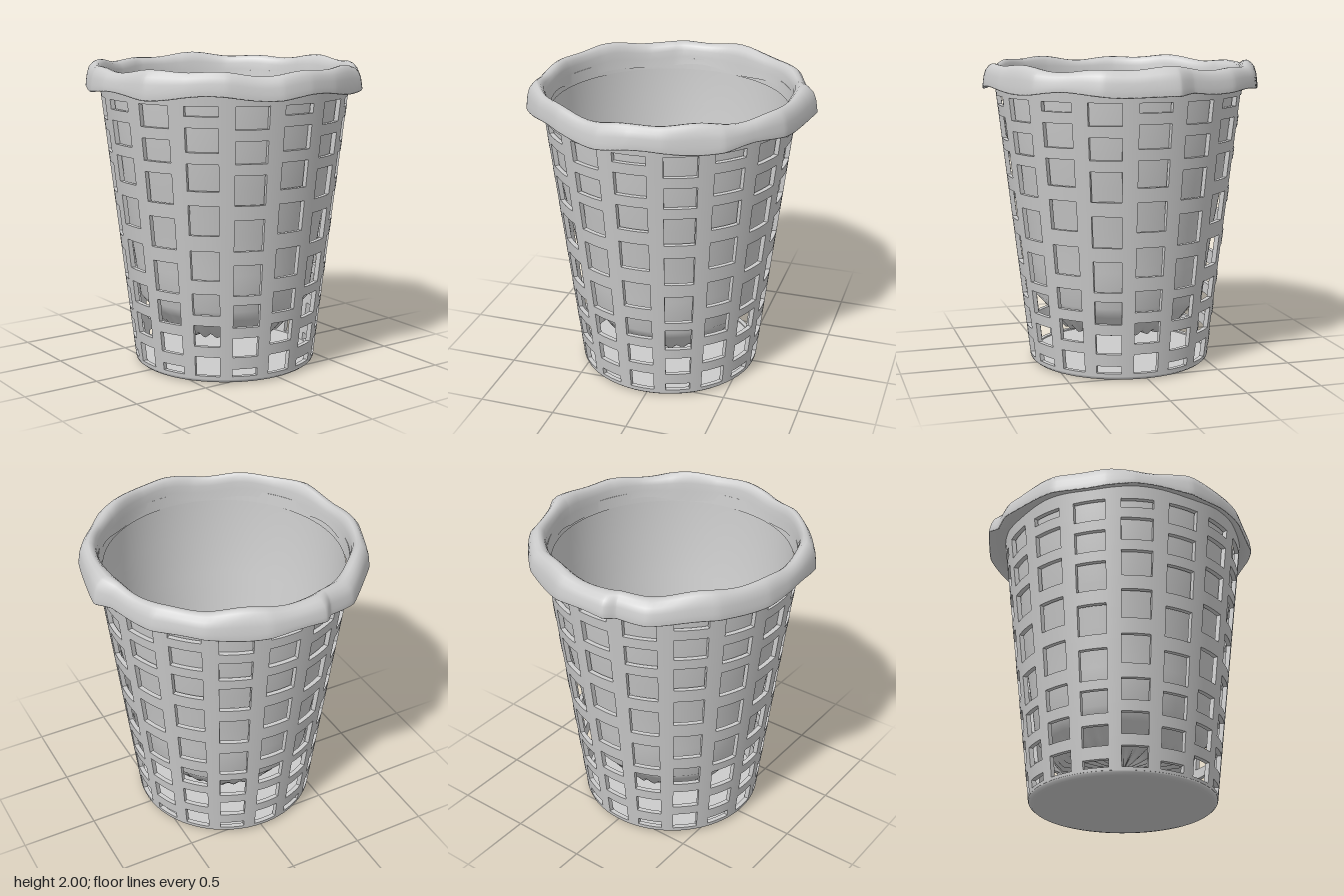
import * as THREE from 'three';
import { mergeGeometries } from 'three/addons/utils/BufferGeometryUtils.js';

const TAU = Math.PI * 2;
const COLUMNS = 16, PITCH = TAU / COLUMNS, HOLE = PITCH * 0.67;
const WALL = 0.03, BOTTOM = 0.03, TOP = 1.87;
const SLOPE = 0.1155;
const wallRadius = y => 0.597 + SLOPE * y;

// A box bent onto the conical basket wall
function wallPiece(a, width, y0, y1) {
  const g = new THREE.BoxGeometry(width, y1 - y0, WALL, 4, Math.max(1, Math.round((y1 - y0) / 0.2)), 1);
  const p = g.attributes.position, n = g.attributes.normal;
  const v = new THREE.Vector3();
  for (let i = 0; i < p.count; i++) {
    const t = a + p.getX(i), y = p.getY(i) + (y0 + y1) / 2;
    const r = wallRadius(y) - WALL / 2 + p.getZ(i);
    p.setXYZ(i, r * Math.sin(t), y, r * Math.cos(t));
    v.set(n.getX(i), n.getY(i) - SLOPE * n.getZ(i), n.getZ(i)).normalize();
    v.applyAxisAngle(THREE.Object3D.DEFAULT_UP, t);
    n.setXYZ(i, v.x, v.y, v.z);
  }
  return g;
}

// A smooth skin over closed loops that all hold the same number of points
function loft(rings) {
  const n = rings[0].length, index = [];
  for (let i = 0; i < rings.length - 1; i++) {
    for (let j = 0; j < n; j++) {
      const k = (j + 1) % n;
      const a = i * n + j, b = i * n + k, c = a + n, d = b + n;
      index.push(a, b, c, b, d, c);
    }
  }
  const g = new THREE.BufferGeometry().setFromPoints(rings.flat());
  g.setIndex(index);
  g.computeVertexNormals();
  return g;
}

export function createModel() {
  const model = new THREE.Group();
  model.name = 'wasteBasket';
  const body = new THREE.Group();
  body.name = 'basketAndLiner';
  body.position.set(-0.02, 0, 0.02);
  model.add(body);

  const plastic = new THREE.MeshStandardMaterial({ color: 0xcccccc });
  const film = new THREE.MeshStandardMaterial({ color: 0xcccccc, side: THREE.DoubleSide });
  const add = (name, geometry, material) => {
    const mesh = new THREE.Mesh(geometry, material);
    mesh.name = name;
    body.add(mesh);
  };

  // Openings of the even and odd columns, as bottom and top heights
  const openings = [
    [[0.05, 0.18], [0.25, 0.39], [0.46, 0.6], [0.69, 0.88], [0.98, 1.17], [1.26, 1.43], [1.5, 1.65], [1.72, 1.78]],
    [[0.05, 0.1], [0.18, 0.31], [0.38, 0.53], [0.59, 0.79], [0.88, 1.08], [1.17, 1.36], [1.43, 1.57], [1.64, 1.78]],
  ];
  const struts = [], bars = [];
  for (let c = 0; c < COLUMNS; c++) {
    const a = c * PITCH;
    struts.push(wallPiece(a + PITCH / 2, PITCH - HOLE, BOTTOM, TOP));
    let y = BOTTOM;
    for (const [lo, hi] of [...openings[c % 2], [TOP, TOP]]) {
      bars.push(wallPiece(a, HOLE, y, lo));
      y = hi;
    }
  }
  add('basketStruts', mergeGeometries(struts), plastic);
  add('basketCrossBars', mergeGeometries(bars), plastic);

  // Solid floor with a rounded edge
  const floor = [[0, 0], [0.55, 0], [0.58, 0.006], [0.597, 0.02], [0.601, 0.04], [0.57, 0.042], [0, 0.042]];
  add('basketFloor', new THREE.LatheGeometry(floor.map(p => new THREE.Vector2(...p)), 64), plastic);

  // Liner bag, with pleats gathered at its bottom
  const bag = [[0.001, 0.245], [0.08, 0.245], [0.2, 0.245], [0.3, 0.245], [0.39, 0.25], [0.44, 0.305], [0.5, 0.385],
    [0.565, 0.46], [0.597, 0.7], [0.637, 0.95], [0.695, 1.25], [0.745, 1.55], [0.765, 1.8]];
  const SIDES = 180;
  add('linerBag', loft(bag.map(([r, y]) => Array.from({ length: SIDES }, (_, j) => {
    const t = j / SIDES * TAU;
    const depth = 0.016 * THREE.MathUtils.smoothstep(r, 0, 0.2) * (1 - THREE.MathUtils.smoothstep(r, 0.36, 0.52));
    const fold = depth * Math.cos(30 * t);
    return new THREE.Vector3((r + fold * 0.4) * Math.sin(t), y + fold, (r + fold * 0.4) * Math.cos(t));
  }))), film);

  // Uneven outline of the bag edge folded over the rim: x, z, droop
  const outline = [[-0.2, -0.91, 0], [-0.27, -0.85, 0], [-0.46, -0.8, 0], [-0.75, -0.52, 0.01], [-0.89, -0.2, 0],
    [-0.91, 0, 0], [-0.86, 0.37, 0.01], [-0.7, 0.57, 0], [-0.5, 0.74, 0], [-0.2, 0.89, 0.01], [0, 0.91, 0],
    [0.22, 0.87, 0], [0.54, 0.73, 0.01], [0.68, 0.56, 0], [0.82, 0.37, 0], [0.89, 0.05, 0.02], [0.91, -0.09, 0.02],
    [0.84, -0.2, 0], [0.73, -0.5, 0], [0.5, -0.73, 0.01], [0.15, -0.89, 0]];
  const edge = new THREE.CatmullRomCurve3(
    outline.map(([x, z, droop]) => new THREE.Vector3(x + 0.02, -droop, z - 0.02)), true, 'catmullrom', 0.2);
  const edgePoints = Array.from({ length: 168 }, (_, j) => edge.getPoint(j / 168));

  // Cuff section: share of the way from the opening to the outline, and share of its height
  const section = [[-0.06, -0.1], [0, 0.3], [0.03, 0.62], [0.12, 0.85], [0.28, 0.98], [0.45, 1], [0.64, 0.93],
    [0.82, 0.76], [0.92, 0.52], [0.97, 0.25], [1, 0.02], [0.96, -0.02], [0.84, 0.1], [0.5, 0.18], [0.12, 0.22]];
  add('linerCuff', loft(section.map(([s, h]) => edgePoints.map(p => {
    const t = Math.atan2(p.x, p.z), outer = Math.hypot(p.x, p.z);
    const inner = 0.78 + 0.006 * Math.sin(6 * t + 1);
    const r = inner + (outer - inner) * s;
    const low = 1.835 + p.y + 0.012 * Math.sin(8 * t + 1);
    const high = 1.978 + 0.012 * Math.sin(5 * t) + 0.009 * Math.sin(11 * t + 2);
    return new THREE.Vector3(r * Math.sin(t), low + (high - low) * h, r * Math.cos(t));
  }))), film);

  return model;
}
